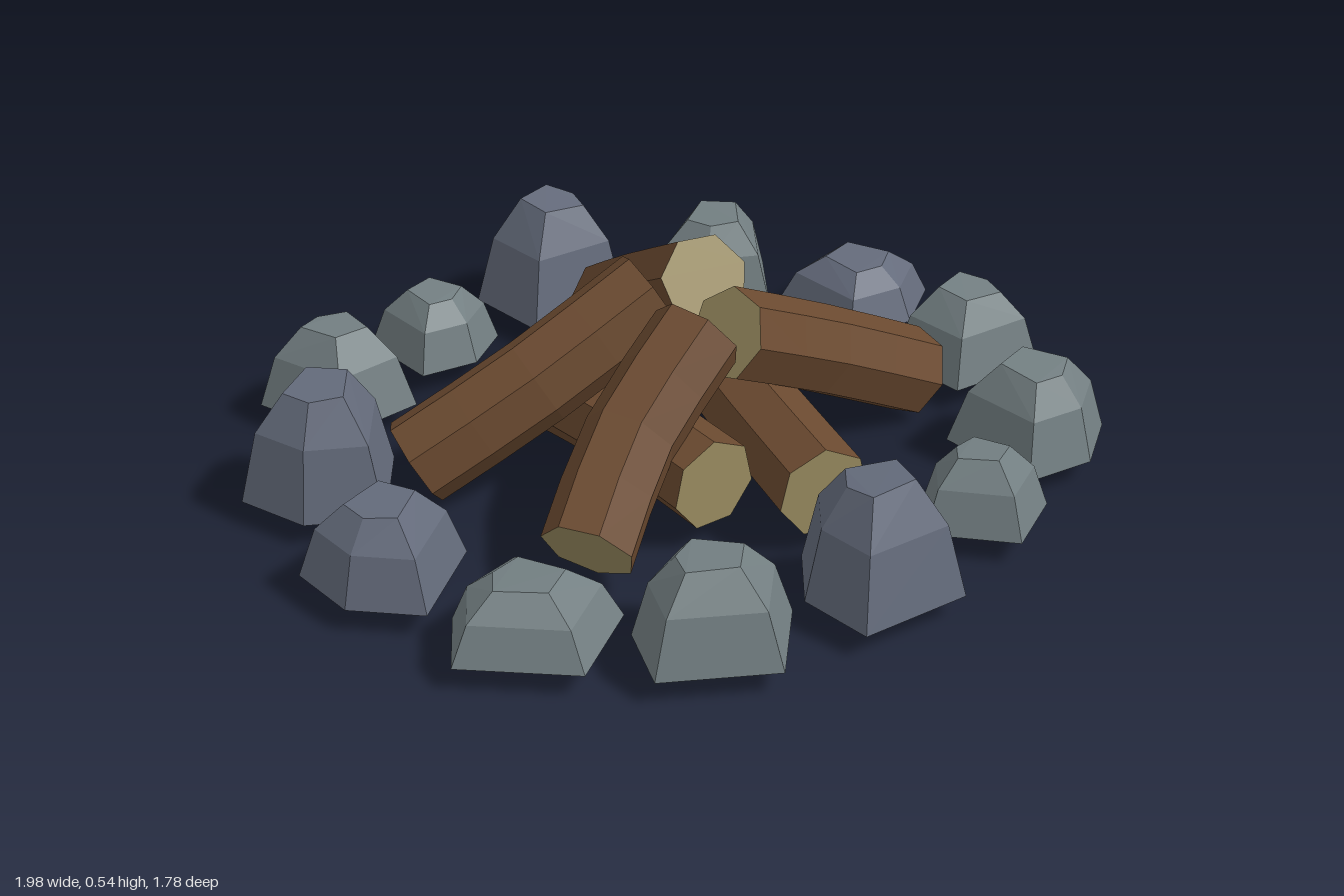
import * as THREE from 'three';
import { ConvexGeometry } from 'three/addons/geometries/ConvexGeometry.js';

const paint = (color) => new THREE.MeshStandardMaterial({ color, flatShading: true });
const BARK = paint(0x6b4a30), CUT = paint(0x9a8c60);
const GREY = paint(0x737f82), SLATE = paint(0x646b7b);
const LOG_RADIUS = 0.108, LOG_SIDES = 7, LOG_STEPS = 4;

// Uneven pentagon shared by all stones, shrunk in three levels to a blunt top
function stoneGeometry() {
  const outline = [[-0.16, -0.12], [0.1, -0.165], [0.155, 0.005], [0.08, 0.165], [-0.175, 0.105]];
  const levels = [[0, 1], [0.62, 0.78], [0.97, 0.42]]; // height, width
  const points = [];
  for (const [y, k] of levels) {
    outline.forEach(([x, z], i) => {
      const tilt = y > 0.9 ? 0.03 * Math.cos(i * 1.26) : 0;
      points.push(new THREE.Vector3(x * k, y + tilt, z * k));
    });
  }
  return new ConvexGeometry(points);
}

// Flat cut face closing one ring of the log tube
function cutFace(tube, step, reverse) {
  const pos = tube.attributes.position;
  const corner = (i) => new THREE.Vector3().fromBufferAttribute(pos, step * (LOG_SIDES + 1) + i);
  const pts = [];
  for (let i = 1; i < LOG_SIDES - 1; i++) {
    pts.push(corner(0), ...(reverse ? [corner(i + 1), corner(i)] : [corner(i), corner(i + 1)]));
  }
  const geo = new THREE.BufferGeometry().setFromPoints(pts);
  geo.computeVertexNormals();
  const mesh = new THREE.Mesh(geo, CUT);
  mesh.name = 'cutFace';
  return mesh;
}

// Slightly bent log through three points
function log(name, path) {
  const group = new THREE.Group();
  group.name = name;
  const curve = new THREE.CatmullRomCurve3(path.map((p) => new THREE.Vector3(...p)));
  const tube = new THREE.TubeGeometry(curve, LOG_STEPS, LOG_RADIUS, LOG_SIDES);
  const bark = new THREE.Mesh(tube, BARK);
  bark.name = 'bark';
  group.add(bark, cutFace(tube, 0, false), cutFace(tube, LOG_STEPS, true));
  return group;
}

export function createModel() {
  const model = new THREE.Group();
  model.name = 'campfire';

  // Ring of stones: x, z, turn in degrees, width, top height, material
  const stones = new THREE.Group();
  stones.name = 'stoneRing';
  const geo = stoneGeometry();
  const GROUND = 0.06;
  [
    [-0.39, -0.74, 271, 0.96, 0.26, GREY],
    [-0.065, -0.74, 83, 0.81, 0.22, GREY],
    [0.335, -0.73, 0, 1, 0.335, SLATE],
    [0.64, -0.465, 144, 0.93, 0.27, GREY],
    [0.815, -0.13, 82, 1, 0.195, SLATE],
    [0.8, 0.23, 0, 0.95, 0.25, GREY],
    [0.565, 0.605, 81, 0.98, 0.27, GREY],
    [0.235, 0.695, 247, 0.81, 0.225, GREY],
    [-0.155, 0.715, 202, 1.02, 0.337, SLATE],
    [-0.54, 0.59, 229, 1.02, 0.27, GREY],
    [-0.78, 0.295, 242, 1.05, 0.2, GREY],
    [-0.84, -0.08, 162, 0.99, 0.25, SLATE],
    [-0.695, -0.44, 146, 1.02, 0.337, SLATE],
  ].forEach(([x, z, turn, width, top, material]) => {
    const stone = new THREE.Mesh(geo, material);
    stone.name = 'stone';
    stone.position.set(x, GROUND, z);
    stone.rotation.y = -THREE.MathUtils.degToRad(turn);
    stone.scale.set(width, top - GROUND, width);
    stones.add(stone);
  });

  // Two logs lying flat, four leaning together above them
  const logs = new THREE.Group();
  logs.name = 'logs';
  logs.add(
    log('flatLogRight', [[-0.06, 0.16, 0.5], [0.08, 0.16, 0.2], [0.23, 0.16, -0.1]]),
    log('flatLogLeft', [[-0.12, 0.16, -0.34], [-0.14, 0.16, -0.03], [-0.2, 0.16, 0.3]]),
    log('leaningLogBackLeft', [[-0.55, 0.13, -0.29], [-0.31, 0.29, -0.15], [-0.04, 0.455, -0.04]]),
    log('leaningLogFrontLeft', [[-0.55, 0.13, 0.255], [-0.33, 0.28, 0.17], [-0.085, 0.435, 0.145]]),
    log('leaningLogFrontRight', [[0.58, 0.1, 0.23], [0.29, 0.255, 0.175], [0.005, 0.4, 0.15]]),
    log('leaningLogBackRight', [[0.3, 0.13, -0.5], [0.19, 0.29, -0.26], [0.085, 0.455, 0.01]]),
  );

  model.add(stones, logs);
  return model;
}
